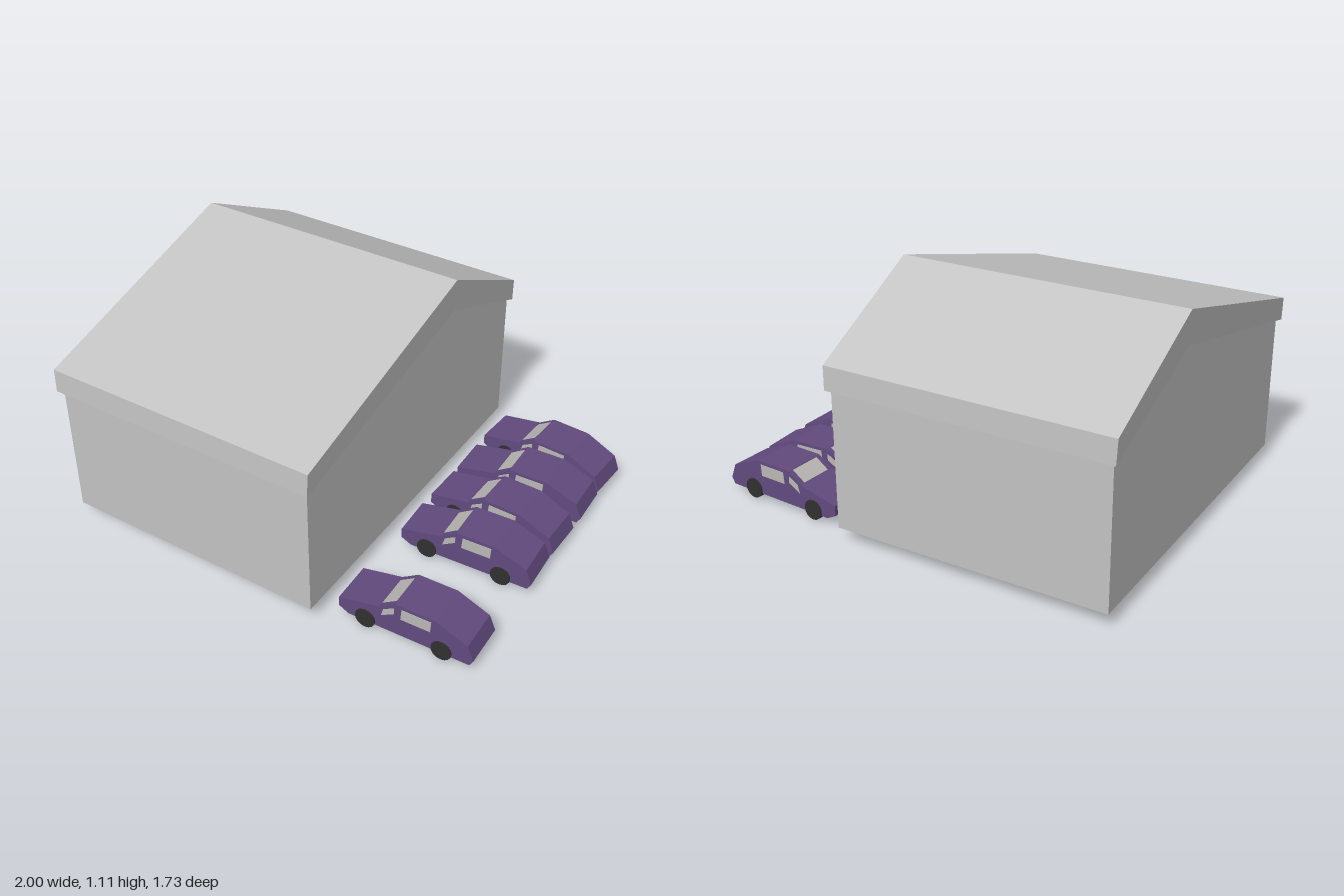
import * as THREE from 'three';

const grey = new THREE.MeshStandardMaterial({ name: 'building grey', color: 0xc3c3c3 });
const purple = new THREE.MeshStandardMaterial({ name: 'car purple', color: 0x614a7e });
const glass = new THREE.MeshStandardMaterial({ name: 'window grey', color: 0xbab8b5 });
const rubber = new THREE.MeshStandardMaterial({ name: 'tyre black', color: 0x303030 });

// Outline in the xy plane, extruded along z and centred on z = 0
function prism(points, depth) {
  const shape = new THREE.Shape(points.map(([x, y]) => new THREE.Vector2(x, y)));
  const geo = new THREE.ExtrudeGeometry(shape, { depth, bevelEnabled: false });
  return geo.translate(0, 0, -depth / 2);
}

function addMesh(parent, name, geo, material, x = 0, y = 0, z = 0) {
  const mesh = new THREE.Mesh(geo, material);
  mesh.name = name;
  mesh.position.set(x, y, z);
  parent.add(mesh);
  return mesh;
}

function createBuilding() {
  const building = new THREE.Group();
  building.name = 'building';

  // Gabled walls; outlines run along -z and are turned to span x
  const walls = prism([[-0.84, 0.065], [0.84, 0.065], [0.84, 0.74], [0.265, 0.99], [-0.84, 0.74]], 1.265);
  addMesh(building, 'walls', walls.rotateY(Math.PI / 2), grey, -0.3375);

  // Thick roof with off-centre ridge
  const roof = prism([
    [-0.865, 0.7], [0.265, 0.957], [0.862, 0.7],
    [0.858, 0.808], [0.265, 1.107], [-0.86, 0.808],
  ], 1.325).rotateY(Math.PI / 2);
  // Gable faces lean in slightly towards the eaves
  const pos = roof.attributes.position;
  for (let i = 0; i < pos.count; i++) {
    const lean = 0.03 * (1.107 - pos.getY(i));
    pos.setX(i, pos.getX(i) - Math.sign(pos.getX(i)) * lean);
  }
  roof.computeVertexNormals();
  addMesh(building, 'roof', roof, grey, -0.3375);
  return building;
}

function createCar() {
  const car = new THREE.Group();
  car.name = 'car';
  const width = 0.2;

  // Wedge-shaped body, nose towards -x
  addMesh(car, 'carBody', prism([
    [-0.312, 0.055], [-0.265, 0.03], [0.296, 0.03], [0.313, 0.06], [0.285, 0.13],
    [0.137, 0.194], [-0.045, 0.194], [-0.122, 0.143], [-0.312, 0.102],
  ], width), purple);

  // Windscreen
  const screen = addMesh(car, 'windscreen', new THREE.BoxGeometry(0.078, 0.004, 0.15), glass, -0.0835, 0.1685, 0);
  screen.rotation.z = Math.atan2(0.051, 0.077);

  // Side windows and wheels on both sides
  const quarter = prism([[-0.11, 0.102], [-0.05, 0.138], [-0.05, 0.17], [-0.1, 0.14]], 0.004);
  const door = prism([[-0.02, 0.123], [0.117, 0.123], [0.12, 0.178], [-0.015, 0.178]], 0.004);
  const wheel = new THREE.CylinderGeometry(0.047, 0.047, 0.045, 16).rotateX(Math.PI / 2);
  for (const side of [-1, 1]) {
    addMesh(car, 'frontSideWindow', quarter, glass, 0, 0, side * width / 2);
    addMesh(car, 'rearSideWindow', door, glass, 0, 0, side * width / 2);
    for (const x of [-0.185, 0.17]) {
      addMesh(car, 'wheel', wheel, rubber, x, 0.047, side * 0.083);
    }
  }
  return car;
}

export function createModel() {
  const model = new THREE.Group();
  model.name = 'buildingWithParkedCars';
  model.add(createBuilding());

  // Parked row: z position and slight turn of each car
  const row = [[-0.634, -0.069], [-0.38, 0.033], [-0.126, -0.026], [0.128, 0.05], [0.635, 0.033]];
  for (const [z, turn] of row) {
    const car = createCar();
    car.position.set(0.683, 0, z);
    car.rotation.y = turn;
    model.add(car);
  }
  return model;
}
